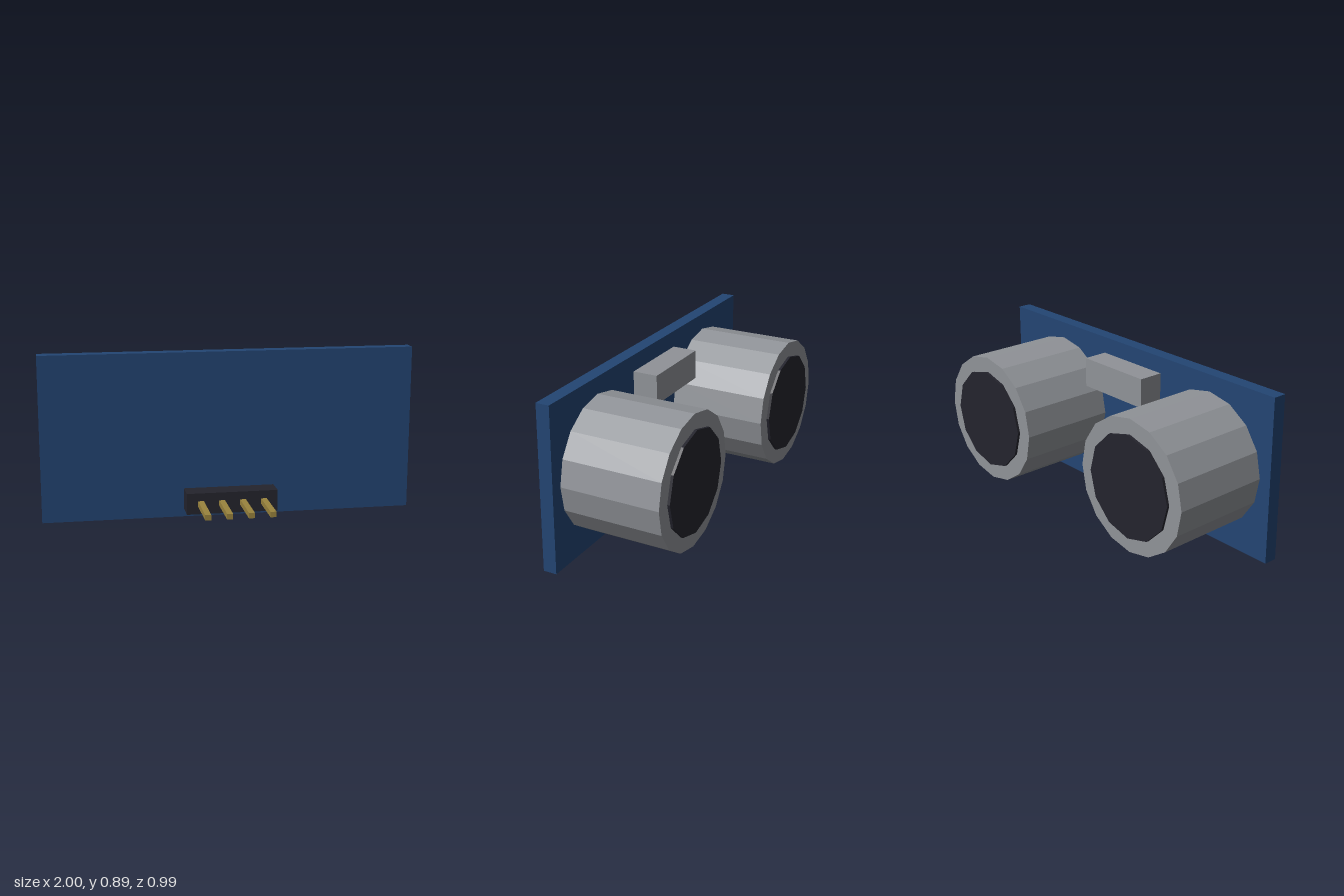
import * as THREE from 'three';

const material = (name, color) => {
  const m = new THREE.MeshStandardMaterial({ color, flatShading: true });
  m.name = name;
  return m;
};

export function createModel() {
  const group = new THREE.Group();
  const blue = material('board blue', 0x234573);
  const grey = material('metal grey', 0x909398);
  const black = material('plastic black', 0x24242d);
  const gold = material('pin gold', 0x9a843e);

  const add = (name, geometry, mat, x, y, z) => {
    const mesh = new THREE.Mesh(geometry, mat);
    mesh.name = name;
    mesh.position.set(x, y, z);
    group.add(mesh);
  };
  // Box given by its centre in x and y, and its range in z
  const box = (name, mat, x, y, w, h, z0, z1) =>
    add(name, new THREE.BoxGeometry(w, h, z1 - z0), mat, x, y, (z0 + z1) / 2);
  // Faceted drum lying along z
  const drum = (name, mat, x, y, r, sides, z0, z1) =>
    add(name, new THREE.CylinderGeometry(r, r, z1 - z0, sides).rotateX(Math.PI / 2), mat, x, y, (z0 + z1) / 2);

  box('circuitBoard', blue, 0, 0.445, 2, 0.89, 0.056, 0.129);

  // Two sensor cans with dark faces on the back
  for (const [side, s] of [['left', 1], ['right', -1]]) {
    drum(side + 'SensorCan', grey, s * 0.578, 0.445, 0.356, 16, -0.478, 0.056);
    drum(side + 'SensorFace', black, s * 0.578, 0.445, 0.275, 12, -0.492, -0.478);
  }

  // Small oscillator block between the cans
  box('oscillator', grey, 0, 0.72, 0.444, 0.16, -0.08, 0.056);

  // Pin header with four pins
  box('pinHeader', black, -0.002, 0.099, 0.488, 0.114, 0.129, 0.243);
  for (let i = 0; i < 4; i++) {
    box('pin' + (i + 1), gold, -0.002 + (i - 1.5) * 0.1125, 0.099, 0.031, 0.029, 0.243, 0.493);
  }
  return group;
}
